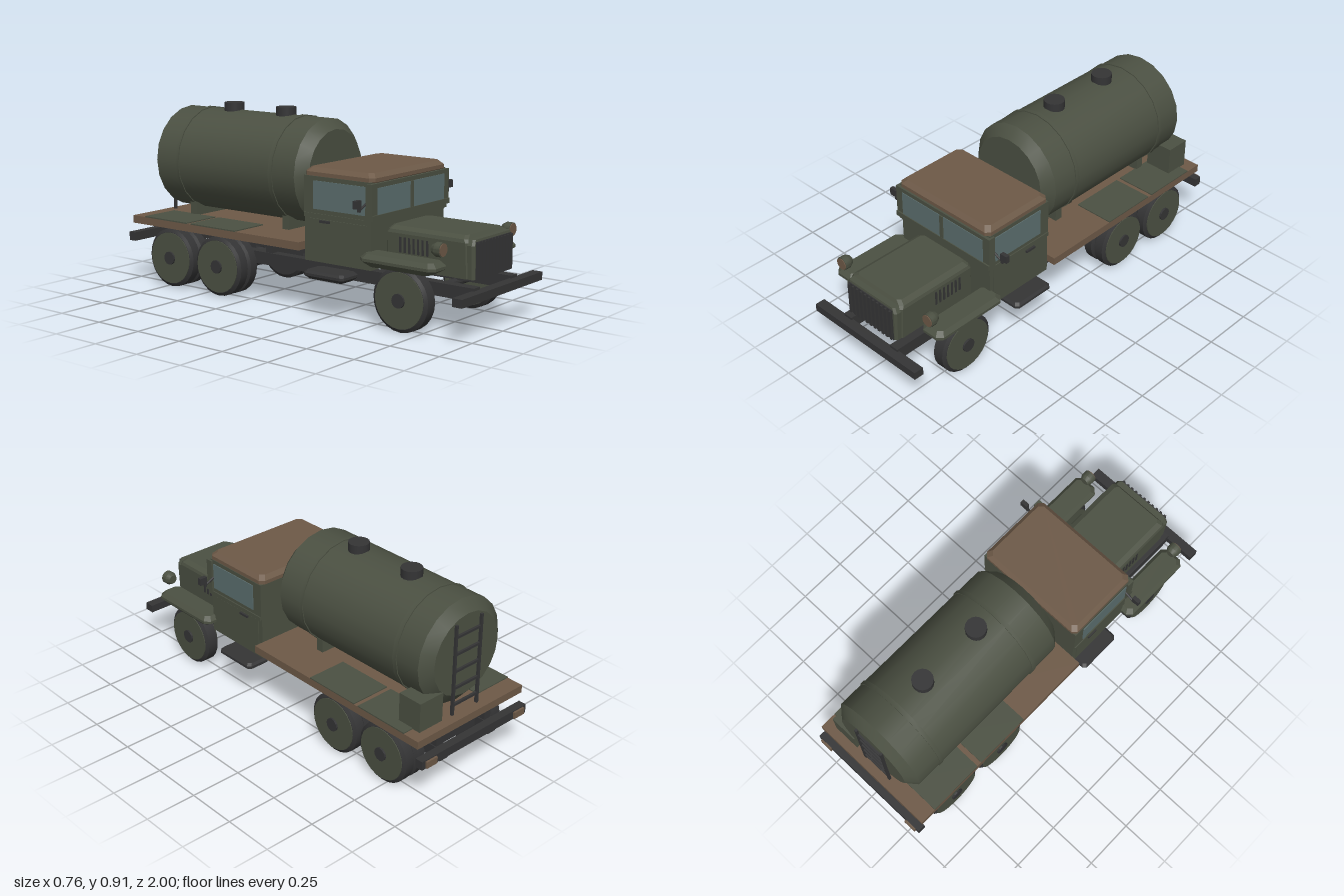
import * as THREE from 'three';
import { toCreasedNormals } from 'three/addons/utils/BufferGeometryUtils.js';

const mat = (name, color) => Object.assign(new THREE.MeshStandardMaterial({ color }), { name });

export function createModel() {
  const green = mat('olive green', 0x4b5042);
  const brown = mat('earth brown', 0x6d5947);
  const dark = mat('dark rubber', 0x343435);
  const glass = mat('window glass', 0x5b6e6e);
  const root = new THREE.Group();
  root.name = 'tankerTruck';

  const add = (name, geo, material, x = 0, y = 0, z = 0) => {
    const m = new THREE.Mesh(geo, material);
    m.name = name;
    m.position.set(x, y, z);
    root.add(m);
    return m;
  };
  // Box from its minimum and maximum on each axis
  const box = (name, material, x0, x1, y0, y1, z0, z1) =>
    add(name, new THREE.BoxGeometry(x1 - x0, y1 - y0, z1 - z0), material,
      (x0 + x1) / 2, (y0 + y1) / 2, (z0 + z1) / 2);
  // Same box on both sides; x0 and x1 are given for the left (+x)
  const pair = (name, material, x0, x1, ...rest) => {
    box(name + 'Left', material, x0, x1, ...rest);
    box(name + 'Right', material, -x1, -x0, ...rest);
  };
  // Solid through cut-corner rectangles [y, width, depth, cornerCut], bottom to top
  const stack = (sections) => {
    const loops = sections.map(([y, w, d, c]) => {
      const a = w / 2, b = d / 2;
      return [[a - c, b], [a, b - c], [a, c - b], [a - c, -b], [c - a, -b], [-a, c - b], [-a, b - c], [c - a, b]]
        .map(([x, z]) => [x, y, z]);
    });
    const pos = [];
    const tri = (...p) => p.forEach((q) => pos.push(...q));
    for (let k = 0; k + 1 < loops.length; k++) {
      for (let i = 0; i < 8; i++) {
        const j = (i + 1) % 8, lo = loops[k], up = loops[k + 1];
        tri(lo[i], lo[j], up[j]);
        tri(lo[i], up[j], up[i]);
      }
    }
    const bottom = loops[0], top = loops[loops.length - 1];
    for (let i = 1; i < 7; i++) {
      tri(top[0], top[i], top[i + 1]);
      tri(bottom[0], bottom[i + 1], bottom[i]);
    }
    const g = new THREE.BufferGeometry();
    g.setAttribute('position', new THREE.Float32BufferAttribute(pos, 3));
    g.computeVertexNormals();
    return g;
  };
  // Turned solid lying along x or z from [radius, position] points
  const turned = (axis, profile, sides) => {
    const g = new THREE.LatheGeometry(profile.map(([r, t]) => new THREE.Vector2(r, t)), sides);
    if (axis === 'x') g.rotateZ(-Math.PI / 2);
    else g.rotateX(Math.PI / 2);
    return toCreasedNormals(g, 0.5);
  };
  const rod = (axis, r, from, to, sides = 12) => turned(axis, [[0, from], [r, from], [r, to], [0, to]], sides);

  // Chassis
  pair('chassisRail', dark, 0.13, 0.18, 0.16, 0.22, -0.95, 0.96);
  box('frontBumper', dark, -0.335, 0.335, 0.17, 0.208, 0.95, 1);
  box('rearBumper', dark, -0.335, 0.335, 0.207, 0.25, -0.99, -0.95);
  pair('rearLight', brown, 0.25, 0.315, 0.212, 0.245, -1, -0.99);
  [0.42, 0.05, -0.3, -0.85].forEach((z) => box('crossMember', dark, -0.14, 0.14, 0.17, 0.21, z - 0.02, z + 0.02));
  [0.06, -0.2, -0.57, -0.9].forEach((z) => pair('bedSupport', dark, 0.135, 0.175, 0.22, 0.3, z - 0.02, z + 0.02));

  // Wheels and axles
  const wheelY = 0.147;
  const wheel = (side, z, x0, x1) => {
    const s = side, a = Math.min(s * x0, s * x1), b = Math.max(s * x0, s * x1);
    const tyre = [[0, a], [0.13, a], [0.146, a + 0.01], [0.146, b - 0.01], [0.13, b], [0, b]];
    add('tyre', turned('x', tyre, 24), dark, 0, wheelY, z);
  };
  [0.663, -0.41, -0.723].forEach((z, n) => {
    add(n ? 'rearAxle' : 'frontAxle', rod('x', 0.019, -0.25, 0.25), dark, 0, wheelY, z);
    if (n) add('differential', new THREE.SphereGeometry(0.045, 12, 8), dark, 0, wheelY, z);
    [1, -1].forEach((s) => {
      if (n) wheel(s, z, 0.18, 0.243);
      wheel(s, z, n ? 0.247 : 0.24, 0.313);
      const lo = s > 0 ? 0.31 : -0.317;
      add('wheelDisc', rod('x', 0.128, lo, lo + 0.007, 24), green, 0, wheelY, z);
      const hub = s > 0 ? 0.315 : -0.326;
      add('hub', rod('x', 0.033, hub, hub + 0.011), dark, 0, wheelY, z);
      if (!n) {
        const inner = s > 0 ? 0.236 : -0.242;
        add('innerWheelDisc', rod('x', 0.128, inner, inner + 0.006, 24), green, 0, wheelY, z);
      }
    });
  });

  // Cab
  box('cabLower', green, -0.288, 0.288, 0.25, 0.46, 0.115, 0.49);
  box('cabUpper', green, -0.293, 0.293, 0.46, 0.645, 0.115, 0.49);
  box('cabBelt', green, -0.298, 0.298, 0.455, 0.475, 0.118, 0.498);
  box('windscreenFrame', green, -0.304, 0.304, 0.48, 0.64, 0.47, 0.505);
  box('windscreenSill', green, -0.304, 0.304, 0.475, 0.5, 0.47, 0.512);
  box('windscreenPost', green, -0.01, 0.01, 0.5, 0.62, 0.5, 0.511);
  pair('frontWindow', glass, 0.012, 0.262, 0.5, 0.62, 0.5, 0.508);
  pair('sideWindow', glass, 0.29, 0.297, 0.495, 0.625, 0.17, 0.465);
  pair('doorPanel', green, 0.285, 0.293, 0.28, 0.45, 0.14, 0.47);
  pair('doorHandle', dark, 0.29, 0.303, 0.436, 0.447, 0.21, 0.265);
  box('cabFloor', dark, -0.12, 0.12, 0.245, 0.251, 0.17, 0.44);
  add('roof', stack([[0.64, 0.56, 0.37, 0.02], [0.645, 0.58, 0.39, 0.02], [0.663, 0.58, 0.39, 0.02], [0.683, 0.54, 0.35, 0.02]]),
    brown, 0, 0, 0.305);

  // Mirrors
  [1, -1].forEach((s) => {
    const curve = new THREE.LineCurve3(new THREE.Vector3(s * 0.295, 0.55, 0.468), new THREE.Vector3(s * 0.345, 0.527, 0.468));
    add('mirrorArm', new THREE.TubeGeometry(curve, 1, 0.006, 6), dark);
    add('mirrorArm', new THREE.BoxGeometry(0.012, 0.03, 0.012), dark, s * 0.347, 0.535, 0.468);
    add('mirror', new THREE.BoxGeometry(0.038, 0.036, 0.02), dark, s * 0.362, 0.556, 0.468);
  });

  // Bonnet, radiator and grille
  add('bonnet', stack([[0.25, 0.33, 0.43, 0.005], [0.41, 0.34, 0.43, 0.01], [0.425, 0.33, 0.42, 0.015], [0.44, 0.28, 0.4, 0.015]]),
    green, 0, 0, 0.7);
  add('radiatorShell', stack([[0.25, 0.32, 0.05, 0.01], [0.4, 0.33, 0.05, 0.01], [0.425, 0.3, 0.04, 0.01]]), green, 0, 0, 0.92);
  box('grilleBack', dark, -0.145, 0.145, 0.247, 0.415, 0.93, 0.947);
  for (let i = 0; i < 11; i++) {
    const x = -0.135 + i * 0.027;
    box('grilleBar', dark, x - 0.006, x + 0.006, 0.252, 0.412, 0.945, 0.956);
  }
  for (let i = 0; i < 7; i++) {
    const z = 0.56 + i * 0.024;
    pair('bonnetLouvre', dark, 0.16, 0.172, 0.325, 0.395, z, z + 0.01);
  }

  // Front mudguards, headlights and running boards
  [1, -1].forEach((s) => {
    add('mudguard', stack([[0.28, 0.085, 0.31, 0.015], [0.305, 0.13, 0.4, 0.025], [0.318, 0.13, 0.4, 0.025], [0.338, 0.095, 0.36, 0.02]]),
      green, s * 0.287, 0, 0.662);
    add('headlight', turned('z', [[0, -0.03], [0.022, -0.03], [0.033, -0.01], [0.033, 0.018], [0, 0.018]], 14), green, s * 0.285, 0.395, 0.85);
    add('headlightLens', rod('z', 0.029, 0.015, 0.022, 14), brown, s * 0.285, 0.395, 0.85);
    add('runningBoard', stack([[0.178, 0.09, 0.19, 0.01], [0.195, 0.13, 0.23, 0.015], [0.207, 0.13, 0.23, 0.015], [0.218, 0.11, 0.21, 0.015]]),
      dark, s * 0.284, 0, 0.262);
    add('runningBoardBracket', new THREE.BoxGeometry(0.07, 0.02, 0.05), dark, s * 0.2, 0.195, 0.262);
  });

  // Load bed with green panels over the rear wheels
  box('loadBed', brown, -0.335, 0.335, 0.3, 0.338, -0.96, 0.115);
  [[-0.565, -0.275], [-0.875, -0.59]].forEach(([z0, z1]) =>
    pair('bedPanel', green, 0.13, 0.335, 0.337, 0.343, z0, z1));
  box('equipmentBox', green, 0.14, 0.28, 0.338, 0.482, -0.915, -0.79);

  // Tank with raised bands, saddles and hatches
  const tankY = 0.618;
  add('tank', turned('z', [[0, -0.91], [0.2, -0.91], [0.253, -0.865], [0.253, 0.02], [0.203, 0.07], [0, 0.07]], 20), green, 0, tankY, 0);
  [-0.125, -0.728].forEach((z) => {
    add('tankBand', rod('z', 0.258, z - 0.011, z + 0.011, 20), green, 0, tankY, 0);
    box('tankSaddle', green, -0.14, 0.14, 0.338, 0.42, z - 0.02, z + 0.02);
  });
  [-0.235, -0.57].forEach((z) => add('hatch', new THREE.CylinderGeometry(0.05, 0.05, 0.05, 16), dark, 0, 0.881, z));

  // Rear ladder
  pair('ladderRail', dark, 0.072, 0.084, 0.34, 0.79, -0.922, -0.908);
  for (let i = 0; i < 5; i++) {
    const y = 0.39 + i * 0.085;
    box('ladderRung', dark, -0.075, 0.075, y - 0.006, y + 0.006, -0.921, -0.909);
  }
  return root;
}
